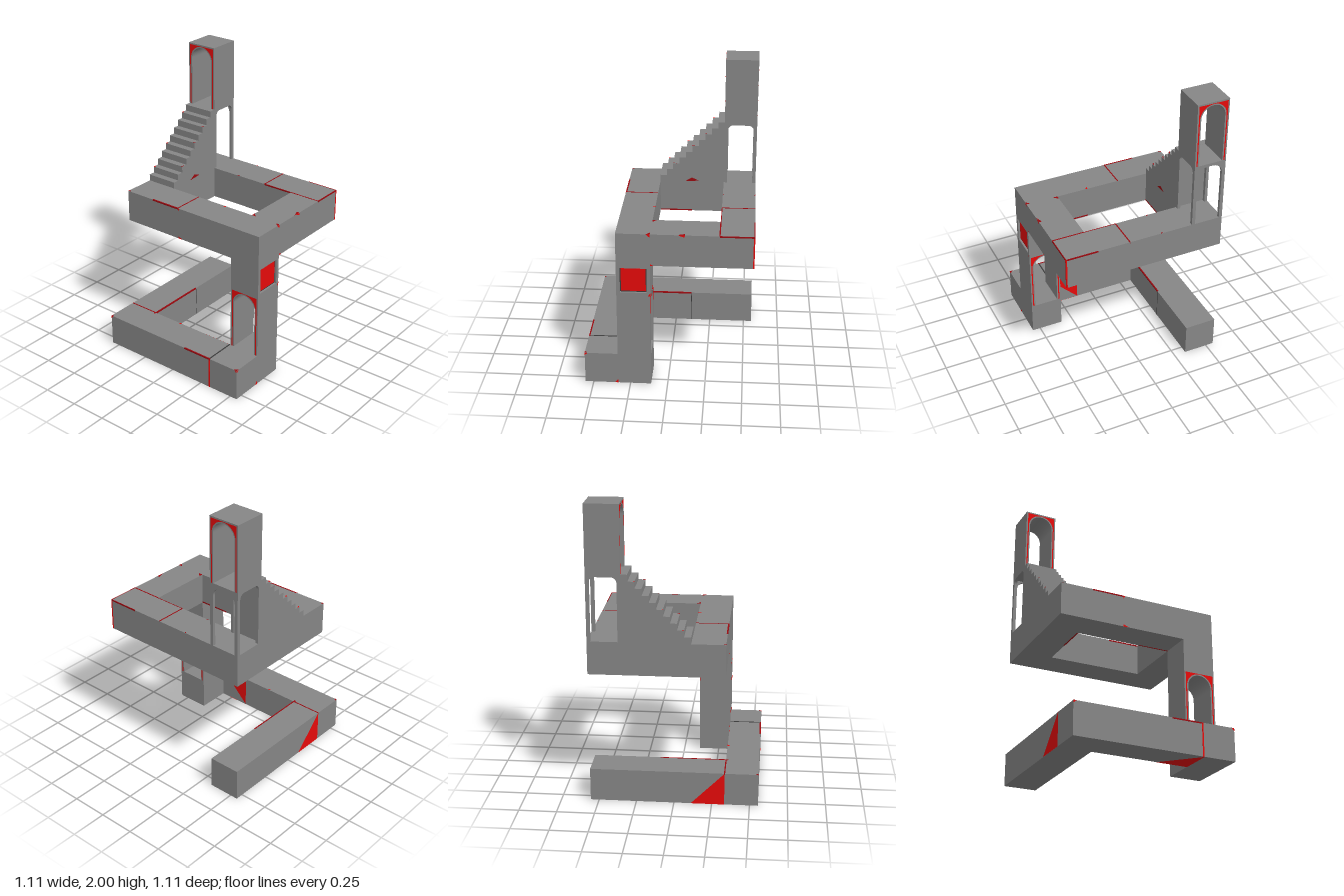
import * as THREE from 'three';

const U = 2 / 9;                       // one building cell
const E = 2.5 * U, I = 1.5 * U, H = 0.5 * U; // outer, inner and half-cell lines
const grey = new THREE.MeshStandardMaterial({ color: 0x868686 });
const dark = new THREE.MeshStandardMaterial({ color: 0x3c3c3c });
const red = new THREE.MeshStandardMaterial({ color: 0xe60a0a, side: THREE.DoubleSide });
const deepRed = new THREE.MeshStandardMaterial({ color: 0x9a0a10, side: THREE.DoubleSide });

export function createModel() {
  const root = new THREE.Group();

  const add = (name, geo, mat = grey, parent = root) => {
    const m = new THREE.Mesh(geo, mat);
    m.name = name;
    parent.add(m);
    return m;
  };
  const block = (name, x0, x1, y0, y1, z0, z1, mat = grey) => {
    const m = add(name, new THREE.BoxGeometry(x1 - x0, y1 - y0, z1 - z0), mat);
    m.position.set((x0 + x1) / 2, (y0 + y1) / 2, (z0 + z1) / 2);
  };
  // Portal outline: a rectangle with an arched doorway open at the bottom
  const portal = (w, top, hw, doorTop, rx, ry) => {
    const s = new THREE.Shape();
    const spring = doorTop - ry;
    s.moveTo(-w, 0);
    s.lineTo(-hw, 0);
    s.lineTo(-hw, spring);
    s.absellipse(-hw + rx, spring, rx, ry, Math.PI, Math.PI / 2, true);
    s.absellipse(hw - rx, spring, rx, ry, Math.PI / 2, 0, true);
    s.lineTo(hw, 0);
    s.lineTo(w, 0);
    s.lineTo(w, top);
    s.lineTo(-w, top);
    s.closePath();
    return s;
  };
  const extrude = (shape, depth) =>
    new THREE.ExtrudeGeometry(shape, { depth, bevelEnabled: false, curveSegments: 8 });

  // Base: left arm, front arm and the foot of the column
  block('baseLeftArm', -E, -I, 0, U, -E, I);
  block('baseFrontArm', -E, E, 0, U, I, E);
  block('columnFoot', I, E, 0, U, H, I);

  // Passage two cells high, arched through z, with a red facing between edge and arch trim
  const passage = (name, x, y, z) => {
    const g = new THREE.Group();
    g.name = name;
    g.position.set(x, y, z);
    const body = add(name + 'Walls', extrude(portal(H, 2 * U, 0.084, 0.422, 0.084, 0.084), U), grey, g);
    body.position.z = -H;
    for (const s of [-1, 1]) {
      const face = add(name + 'Facing',
        new THREE.ShapeGeometry(portal(0.101, 2 * U - 0.01, 0.093, 0.431, 0.093, 0.093), 8), red, g);
      face.position.z = s * (H + 0.001);
    }
    root.add(g);
  };
  passage('columnPassage', 2 * U, U, U);
  passage('towerUpperPassage', -2 * U, 7 * U, -2 * U);

  // Column head with a framed square window on its outer side
  block('columnHead', I, E - 0.015, 3 * U, 4 * U, H, I);
  const frame = new THREE.Shape();
  const rect = (p, x, y) => {
    p.moveTo(-x, -y); p.lineTo(x, -y); p.lineTo(x, y); p.lineTo(-x, y); p.closePath();
    return p;
  };
  rect(frame, H, H);
  frame.holes.push(rect(new THREE.Path(), 0.088, 0.088));
  const win = add('windowFrame', extrude(frame, 0.015));
  win.rotation.y = Math.PI / 2;
  win.position.set(E - 0.015, 3.5 * U, U);
  const pane = (name, r, x, mat) =>
    block(name, E - 0.016, x, 3.5 * U - r, 3.5 * U + r, U - r, U + r, mat);
  pane('windowRim', 0.088, E - 0.014, dark);
  pane('windowPane', 0.081, E - 0.012, red);

  // Square ring walkway
  const y0 = 4 * U, y1 = 5 * U;
  block('ringFront', -E, E, y0, y1, H, I);
  block('ringBack', -E, E, y0, y1, -E, -I);
  block('ringLeft', -E, -I, y0, y1, -I, H);
  block('ringRight', I, E, y0, y1, -I, H);

  // Staircase as one stepped profile
  const steps = 10, d = 2 * U / steps;
  const profile = new THREE.Shape();
  profile.moveTo(I, 0);
  profile.lineTo(-H, 0);
  for (let i = 0; i < steps; i++) {
    profile.lineTo(-H + i * d, (i + 1) * d);
    profile.lineTo(-H + (i + 1) * d, (i + 1) * d);
  }
  profile.closePath();
  const stairs = add('stairs', extrude(profile, U));
  stairs.rotation.y = Math.PI / 2; // profile x runs towards -z
  stairs.position.set(-E, y1, 0);

  // Lower tower room: open doorways on both sides and the back
  const t = 0.02, doorway = portal(H, 2 * U, 0.088, 0.424, 0.036, 0.036);
  for (const x of [-E, -I - t]) {
    const side = add('towerSideDoorway', extrude(doorway, t));
    side.rotation.y = Math.PI / 2;
    side.position.set(x, y1, -2 * U);
  }
  const rear = add('towerRearDoorway', extrude(portal(H - t, 2 * U, 0.088, 0.424, 0.07, 0.07), t));
  rear.position.set(-2 * U, y1, -E);
  block('towerRoomCeiling', -E + t, -I - t, 7 * U - 0.02, 7 * U - 0.001, -E + t, -I);

  // Seams along block joints: [x0, x1, y0, y1, z0, z1]
  const w = 0.008, h = 0.004, p = 0.001;
  const deepSeams = [
    [H - h, H + h, y1 - w, y1 + p, -E, -I],
    [H, I, y1 - w, y1 + p, -I - h, -I + p],
    [I, E, y1 - w, y1 + p, -I - h, -I + h],
    [I, E, y1 - w, y1 + p, -E - p, -E + h],
    [E - h, E + p, y1 - w, y1 + p, -E, -I],
    [-H - w, -H, y1 - w, y1 + p, H, I],
    [-I, -H, y1 - w, y1 + p, I - w, I + p],
    [H, I, U - w, U + p, E - w, E + p],
    [-E, -I, U - w, U + p, I - h, I + h],
    [-I - w, -I + p, U - w, U + p, -H, I],
    [-I - w, -I + p, y0 - p, y0 + w, -H, H],
    [H, I, y0 - p, y0 + w, H - p, H + w],
  ];
  deepSeams.forEach((s) => block('deepRedSeam', ...s, deepRed));
  block('redSeam', E - w, E + p, y0, y1, -E - p, -E + w, red);
  block('redSeam', I - 0.012, I - 0.002, 0, U, E - w, E + p, red);
  block('darkSeam', I - 0.012, I - 0.002, U - w, U + p, I, E - w, dark);
  block('darkSeam', -I - w, -I + p, 0, U - w, -H - h, -H, dark);

  // Red triangles: large half-cell facets
  const triangle = (name, mat, ...pts) => {
    const g = new THREE.BufferGeometry().setFromPoints(pts.map((q) => new THREE.Vector3(...q)));
    g.computeVertexNormals();
    add(name, g, mat);
  };
  triangle('redFacet', red, [I, U, I - p], [H, U, I - p], [H, 0, I - p]);
  triangle('redFacet', red, [-E - p, U, I], [-E - p, 0, I], [-E - p, 0, H]);
  triangle('redFacet', red, [I, -p, I], [H, -p, I], [I, -p, E]);

  // Chips on top faces: corner, inward x and z lengths, material
  const chips = [
    [-H, y1, -E, -0.015, 0.012, deepRed], [-H, y1, -I, -0.018, -0.012, deepRed],
    [E, y1, H, -0.027, 0.027, deepRed], [H, y1, H, 0.015, 0.027, red],
    [I, y1, H, 0.033, -0.03, deepRed], [E, y1, -H, -0.02, 0.055, deepRed],
    [-E, y1, I, 0.02, -0.02, deepRed], [-H, U, I, 0.02, 0.02, red],
    [-I, U, I, -0.024, 0.02, deepRed],
    [-E, U, E, 0.02, -0.02, deepRed], [E, U, E, -0.024, -0.02, deepRed],
  ];
  for (const [x, y, z, dx, dz, mat] of chips)
    triangle('chip', mat, [x, y + p, z], [x + dx, y + p, z], [x, y + p, z + dz]);

  // Chips on front faces: corner, inward x and y lengths
  for (const [x, y, z, dx, dy] of [
    [-H, y1, I, 0.012, -0.022], [-H, y0, I, 0.04, 0.015],
    [-E, U, E, 0.02, -0.018], [E, U, E, -0.02, -0.02],
  ]) triangle('chip', red, [x, y, z + p], [x + dx, y, z + p], [x, y + dy, z + p]);

  // Chips on right-hand faces: corner, inward y and z lengths
  for (const [x, y, z, dy, dz] of [
    [E, y1, H, -0.024, 0.026], [E, y0, H, 0.012, -0.024], [E, 3 * U, H, 0.024, 0.016],
    [E, 0, I, 0.024, 0.022], [E, U, E, -0.018, -0.018], [E, y1, -H, -0.016, 0.045],
  ]) triangle('chip', red, [x + p, y, z], [x + p, y + dy, z], [x + p, y, z + dz]);
  triangle('chip', deepRed, [-I + p, y1, -0.06], [-I + p, y1 + 0.008, -0.16], [-I + p, y1 + 0.03, -0.11]);

  // Chips on the stair edges: tread index and side
  for (const [i, s] of [[1, -1], [4, -1], [8, -1], [2, 1], [5, 1], [7, 1]]) {
    const x = -2 * U + s * H, y = y1 + (i + 1) * d + p, z = H - i * d;
    triangle('stairChip', s < 0 ? red : deepRed, [x, y, z], [x - s * 0.014, y, z], [x, y, z - 0.022]);
  }

  return root;
}
